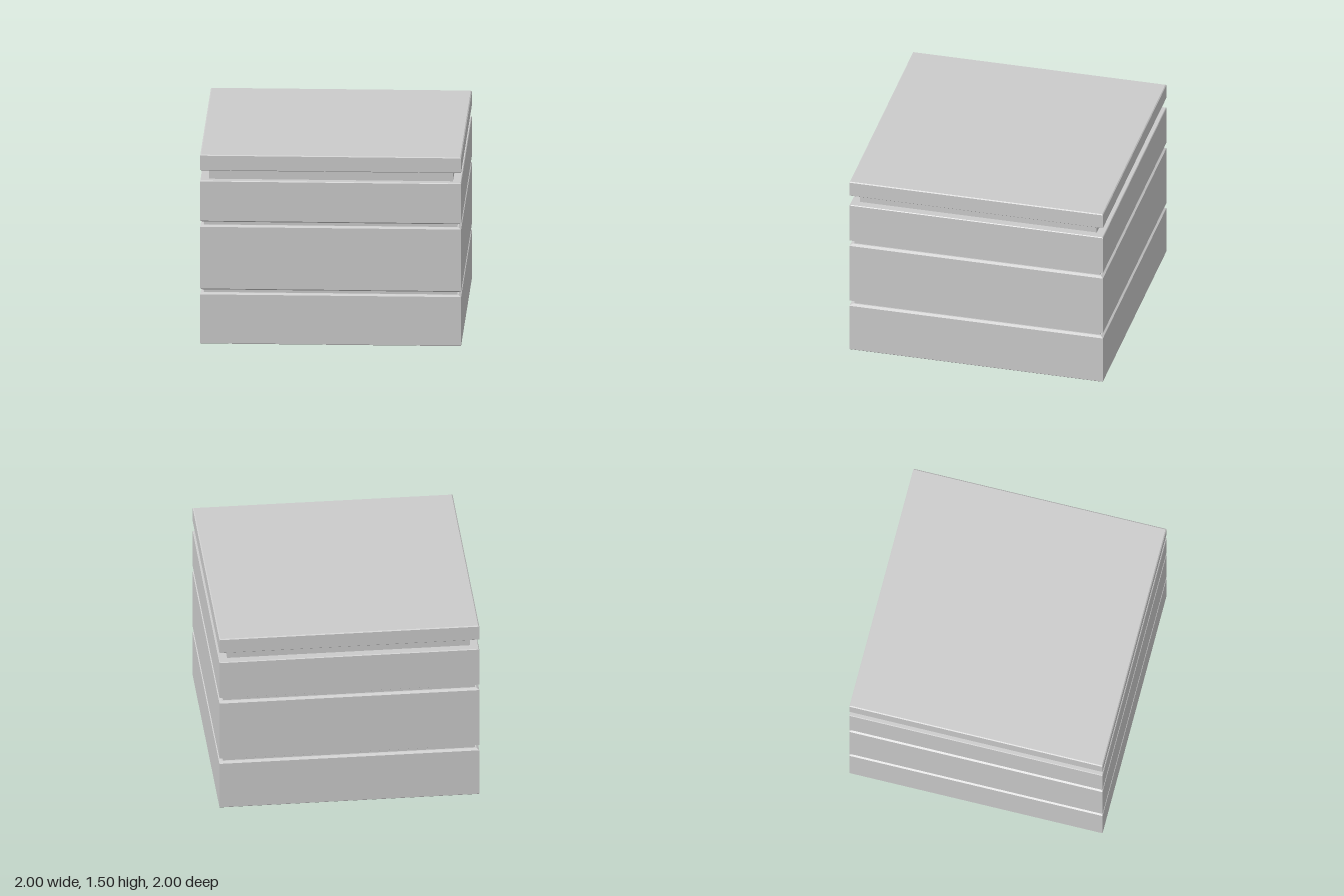
import * as THREE from 'three';

const material = new THREE.MeshStandardMaterial({ color: 0xcccccc, flatShading: true });

// Square slab from y0 to y1: four-sided lathe with chamfered bottom and top rims
function slab(name, half, y0, y1, bottom, top) {
  const profile = [
    [0, y0],
    [half - bottom[0], y0],
    [half, y0 + bottom[1]],
    [half, y1 - top[1]],
    [half - top[0], y1],
    [0, y1],
  ].map(([x, y]) => new THREE.Vector2(x * Math.SQRT2, y));
  const mesh = new THREE.Mesh(new THREE.LatheGeometry(profile, 4, Math.PI / 4), material);
  mesh.name = name;
  return mesh;
}

// Plain recessed band between two slabs
function band(name, half, y0, y1) {
  const mesh = new THREE.Mesh(new THREE.BoxGeometry(half * 2, y1 - y0, half * 2), material);
  mesh.position.y = (y0 + y1) / 2;
  mesh.name = name;
  return mesh;
}

export function createModel() {
  const group = new THREE.Group();
  group.name = 'layeredBlock';
  const fine = [0.005, 0.005];
  const rim = [0.02, 0.012];

  group.add(
    // Three stacked body layers
    slab('lowerLayer', 1, 0, 0.402, fine, rim),
    slab('middleLayer', 1, 0.425, 0.937, rim, rim),
    slab('upperLayer', 1, 0.962, 1.29, rim, fine),
    // Shallow grooves between the layers
    band('lowerGroove', 0.97, 0.39, 0.44),
    band('upperGroove', 0.97, 0.925, 0.975),
    // Recessed neck and overhanging lid
    band('neck', 0.935, 1.28, 1.38),
    slab('lid', 1, 1.37, 1.495, [0.008, 0.006], [0.008, 0.006]),
  );
  return group;
}
